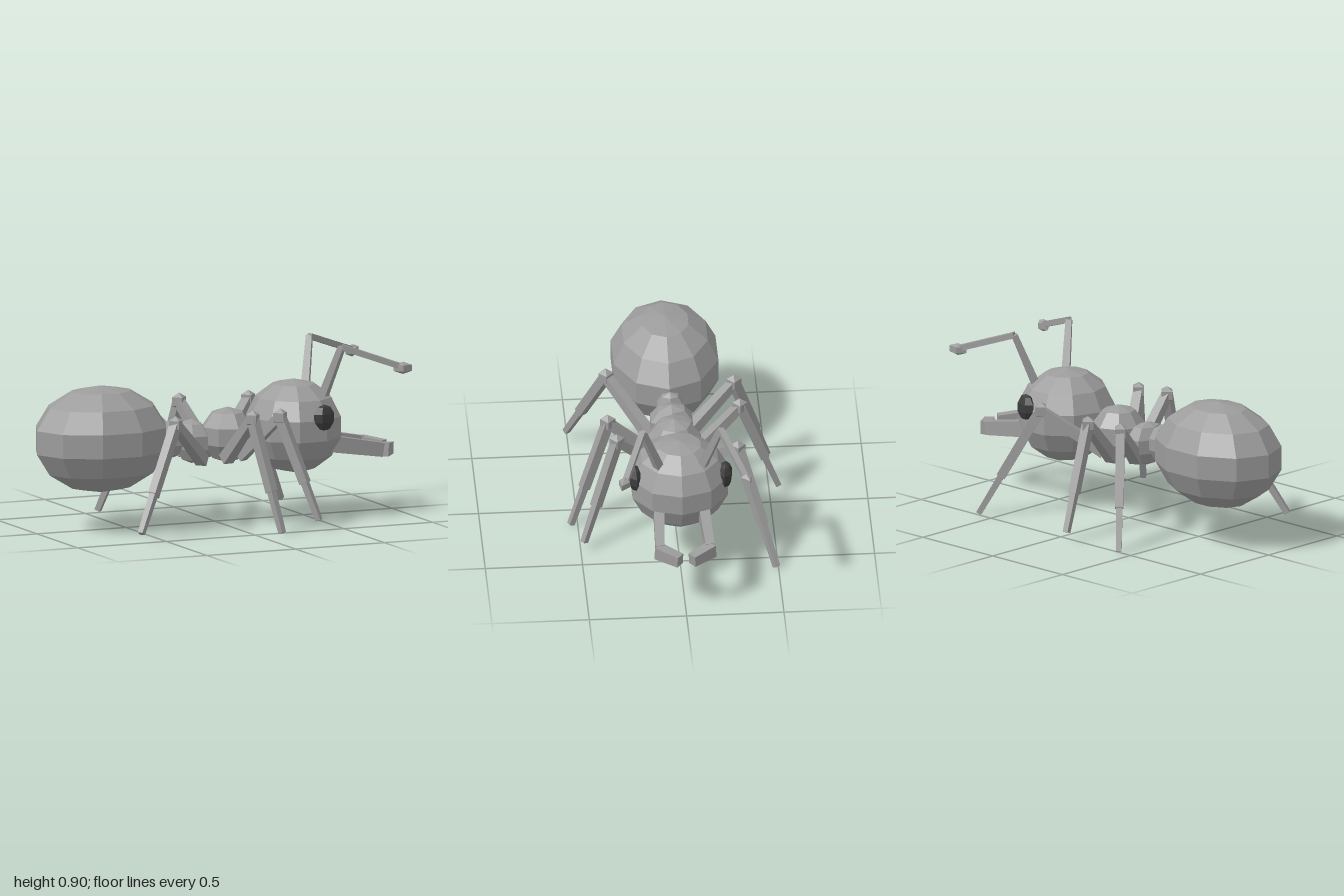
import * as THREE from 'three';

export function createModel() {
  const ant = new THREE.Group();
  ant.name = 'ant';

  const shell = new THREE.MeshStandardMaterial({ color: 0x9c9c9c, flatShading: true });
  shell.name = 'grey shell';
  const dark = new THREE.MeshStandardMaterial({ color: 0x3c3c3c, flatShading: true });
  dark.name = 'dark eye';

  const group = (name) => {
    const g = new THREE.Group();
    g.name = name;
    ant.add(g);
    return g;
  };

  // Faceted ellipsoid: centre, radii, sides and rows
  const blob = (parent, name, pos, radii, sides, rows, mat = shell) => {
    const m = new THREE.Mesh(new THREE.SphereGeometry(1, sides, rows), mat);
    m.name = name;
    m.scale.set(...radii);
    m.position.set(...pos);
    parent.add(m);
    return m;
  };

  // Square bar from a to b, w wide and h high, its far end scaled by taper
  const bar = (parent, name, a, b, w, h = w, taper = 1) => {
    const va = new THREE.Vector3(...a), vb = new THREE.Vector3(...b);
    const geo = new THREE.BoxGeometry(w, h, va.distanceTo(vb));
    const p = geo.attributes.position;
    for (let i = 0; i < p.count; i++) {
      if (p.getZ(i) > 0) p.setXY(i, p.getX(i) * taper, p.getY(i) * taper);
    }
    geo.computeVertexNormals();
    const m = new THREE.Mesh(geo, shell);
    m.name = name;
    m.position.copy(va).add(vb).multiplyScalar(0.5);
    m.lookAt(vb);
    parent.add(m);
    return m;
  };

  // Body segments, tail to head (the head points along +x)
  blob(ant, 'abdomen', [-0.64, 0.475, 0], [0.369, 0.277, 0.29], 10, 7);
  blob(ant, 'waist', [-0.235, 0.45, 0], [0.055, 0.1, 0.08], 6, 5);
  blob(ant, 'rearThorax', [-0.13, 0.43, 0], [0.09, 0.115, 0.13], 6, 5);
  blob(ant, 'frontThorax', [0.073, 0.45, 0], [0.142, 0.145, 0.145], 8, 5);
  blob(ant, 'head', [0.445, 0.473, 0], [0.251, 0.243, 0.264], 10, 7);

  // Legs: hip, knee and foot
  const legs = [
    ['rearLeg', [-0.11, 0.34, 0.09], [-0.365, 0.575, 0.32], [-0.643, 0.055, 0.505]],
    ['middleLeg', [0.02, 0.34, 0.1], [0.06, 0.58, 0.34], [0.137, 0.012, 0.535]],
    ['frontLeg', [0.1, 0.35, 0.1], [0.23, 0.575, 0.305], [0.368, 0.055, 0.483]],
    ['rearLeg', [-0.13, 0.36, -0.08], [-0.26, 0.58, -0.33], [-0.425, 0.015, -0.51]],
    ['middleLeg', [0.02, 0.34, -0.1], [-0.043, 0.58, -0.345], [-0.085, 0.055, -0.545]],
    ['frontLeg', [0.08, 0.36, -0.1], [0.33, 0.575, -0.31], [0.595, 0.012, -0.49]],
  ];
  for (const [name, hip, knee, foot] of legs) {
    const leg = group(name);
    const ankle = knee.map((k, i) => k + (foot[i] - k) * 0.64);
    bar(leg, 'thigh', hip, knee, 0.06, 0.06, 0.75);
    blob(leg, 'knee', knee, [0.045, 0.045, 0.045], 4, 3);
    bar(leg, 'shin', knee, ankle, 0.046, 0.05, 0.95);
    bar(leg, 'foot', ankle, foot, 0.034, 0.034, 0.85);
  }

  // Paired parts of the head
  for (const s of [1, -1]) {
    const eye = blob(ant, 'eye', [0.51, 0.54, s * 0.233], [0.064, 0.07, 0.038], 6, 5, dark);
    eye.rotation.y = s * 0.15;

    const antenna = group('antenna');
    const elbow = [0.625, 0.895, s * 0.2];
    bar(antenna, 'antennaStalk', [0.56, 0.63, s * 0.11], elbow, 0.042, 0.042, 0.75);
    bar(antenna, 'antennaWhip', elbow, [0.915, 0.79, s * 0.31], 0.03);
    const tip = blob(antenna, 'antennaTip', [0.918, 0.785, s * 0.313], [0.055, 0.032, 0.034], 4, 3);
    tip.rotation.y = -s * 0.36;

    const jaw = group('mandible');
    const joint = [0.885, 0.337, s * 0.128];
    bar(jaw, 'jawBase', [0.6, 0.385, s * 0.115], joint, 0.055, 0.085, 0.85);
    bar(jaw, 'jawTip', [0.885, 0.337, s * 0.14], [0.968, 0.328, s * 0.03], 0.06, 0.07, 0.85);
  }

  return ant;
}
